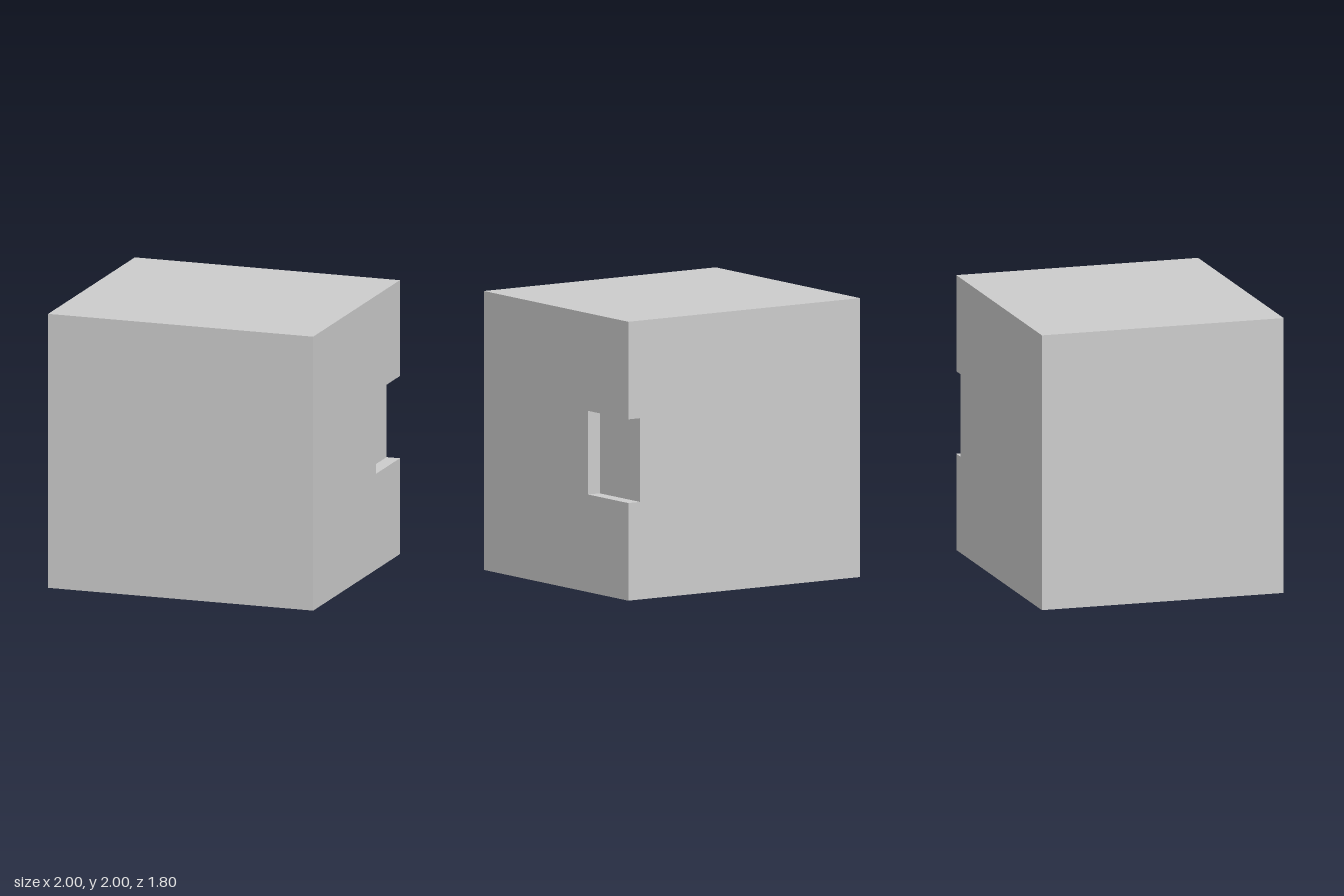
import * as THREE from 'three';
import { mergeGeometries } from 'three/addons/utils/BufferGeometryUtils.js';

const Q = Math.PI / 2;

// Block extents and the notch cut into the right side at its rear edge
const W = 1, D = 0.9, H = 2;
const N = { x: 0.9, z: 0.4, y0: 0.7, y1: 1.3 };

const rect = (u0, v0, u1, v1) => [[u0, v0], [u1, v0], [u1, v1], [u0, v1]];

// Flat panel: outline drawn in its own plane, pushed out along its normal, then turned
function panel(outline, offset, rotX, rotY) {
  const shape = new THREE.Shape(outline.map(([u, v]) => new THREE.Vector2(u, v)));
  return new THREE.ShapeGeometry(shape).translate(0, 0, offset).rotateX(rotX).rotateY(rotY);
}

export function createModel() {
  const group = new THREE.Group();
  group.name = 'notchedBlock';
  const material = new THREE.MeshStandardMaterial({ color: 0xcccccc });

  const add = (name, panels) => {
    const mesh = new THREE.Mesh(mergeGeometries(panels), material);
    mesh.name = name;
    group.add(mesh);
  };

  // Outer faces; the right and back ones are cut away around the notch
  add('block', [
    panel(rect(-W, 0, W, H), D, 0, 0),
    panel(rect(-D, 0, D, H), W, 0, -Q),
    panel(rect(-W, -D, W, D), H, -Q, 0),
    panel(rect(-W, -D, W, D), 0, Q, 0),
    panel([[-D, 0], [D, 0], [D, N.y0], [N.z, N.y0], [N.z, N.y1], [D, N.y1], [D, H], [-D, H]], W, 0, Q),
    panel([[-W, 0], [W, 0], [W, H], [-W, H], [-W, N.y1], [-N.x, N.y1], [-N.x, N.y0], [-W, N.y0]], D, 0, 2 * Q),
  ]);

  // Recess walls: inner wall, end wall, ledge and soffit
  add('notch', [
    panel(rect(N.z, N.y0, D, N.y1), N.x, 0, Q),
    panel(rect(-W, N.y0, -N.x, N.y1), N.z, 0, 2 * Q),
    panel(rect(N.x, N.z, W, D), N.y0, -Q, 0),
    panel(rect(N.x, -D, W, -N.z), -N.y1, Q, 0),
  ]);

  return group;
}
